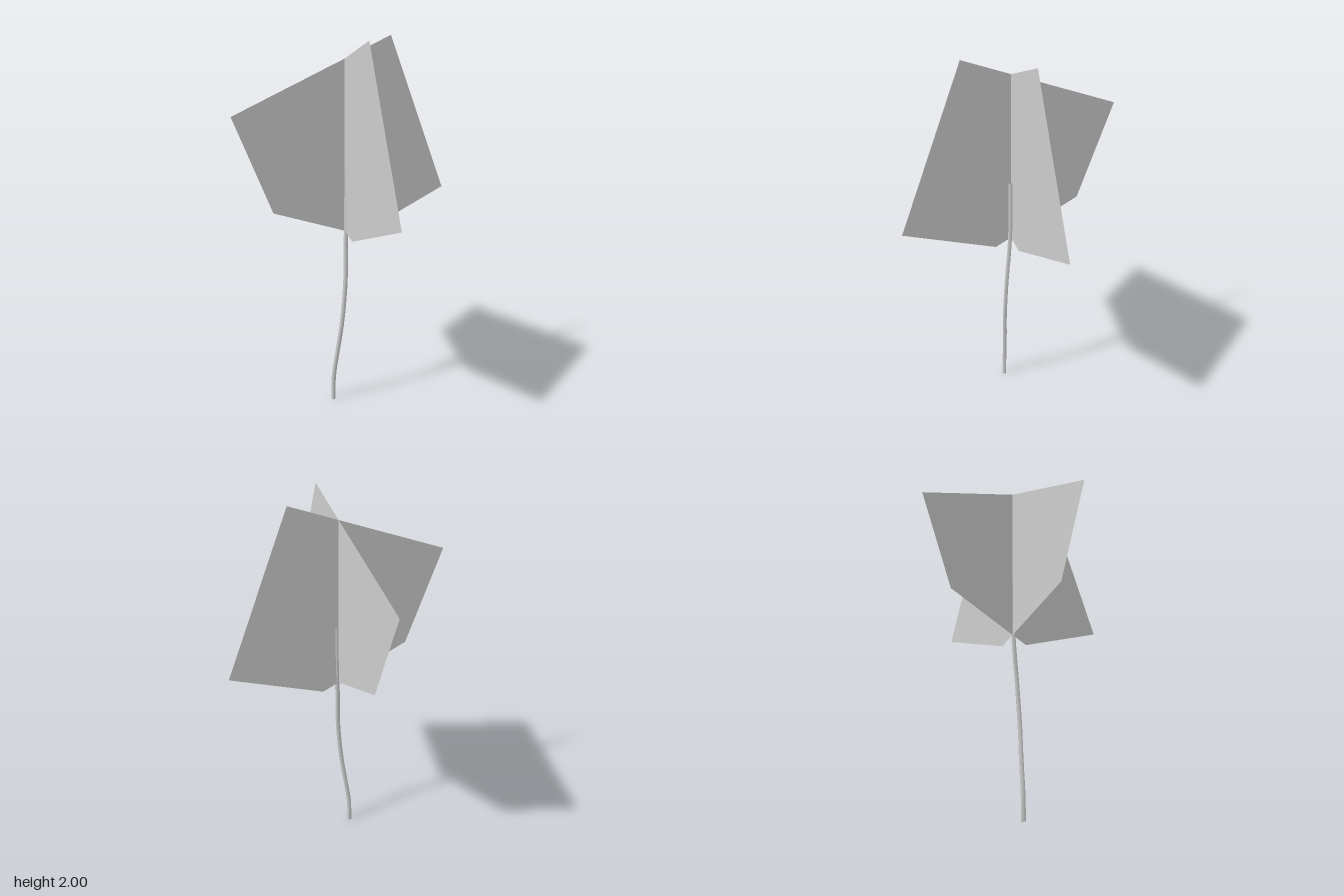
import * as THREE from 'three';

export function createModel() {
  const group = new THREE.Group();
  const material = new THREE.MeshStandardMaterial({ color: 0xcccccc, side: THREE.DoubleSide });

  // Two identical flat cards crossing at right angles on the vertical axis
  const outline = [[-0.6, 1.65], [-0.4, 1.145], [0.09, 0.96], [0.6, 1.168], [0.26, 2.0]];
  const cardGeometry = new THREE.ShapeGeometry(
    new THREE.Shape(outline.map(([x, y]) => new THREE.Vector2(x, y)))
  );
  ['foliageCardFront', 'foliageCardSide'].forEach((name, i) => {
    const card = new THREE.Mesh(cardGeometry, material);
    card.name = name;
    card.rotation.y = -i * Math.PI / 2;
    group.add(card);
  });

  // Thin, gently bent stem that ends inside the foliage
  const path = new THREE.CatmullRomCurve3([
    [-0.075, 0, 0.007], [-0.072, 0.14, 0.007], [-0.051, 0.3, 0.014], [-0.03, 0.46, 0.024],
    [-0.008, 0.7, 0.024], [0.001, 0.92, 0.011], [0.006, 1.05, 0.007], [0.008, 1.325, 0.007],
  ].map((p) => new THREE.Vector3(...p)));
  const stem = new THREE.Mesh(new THREE.TubeGeometry(path, 20, 0.012, 6), material);
  stem.name = 'stem';
  group.add(stem);

  return group;
}
